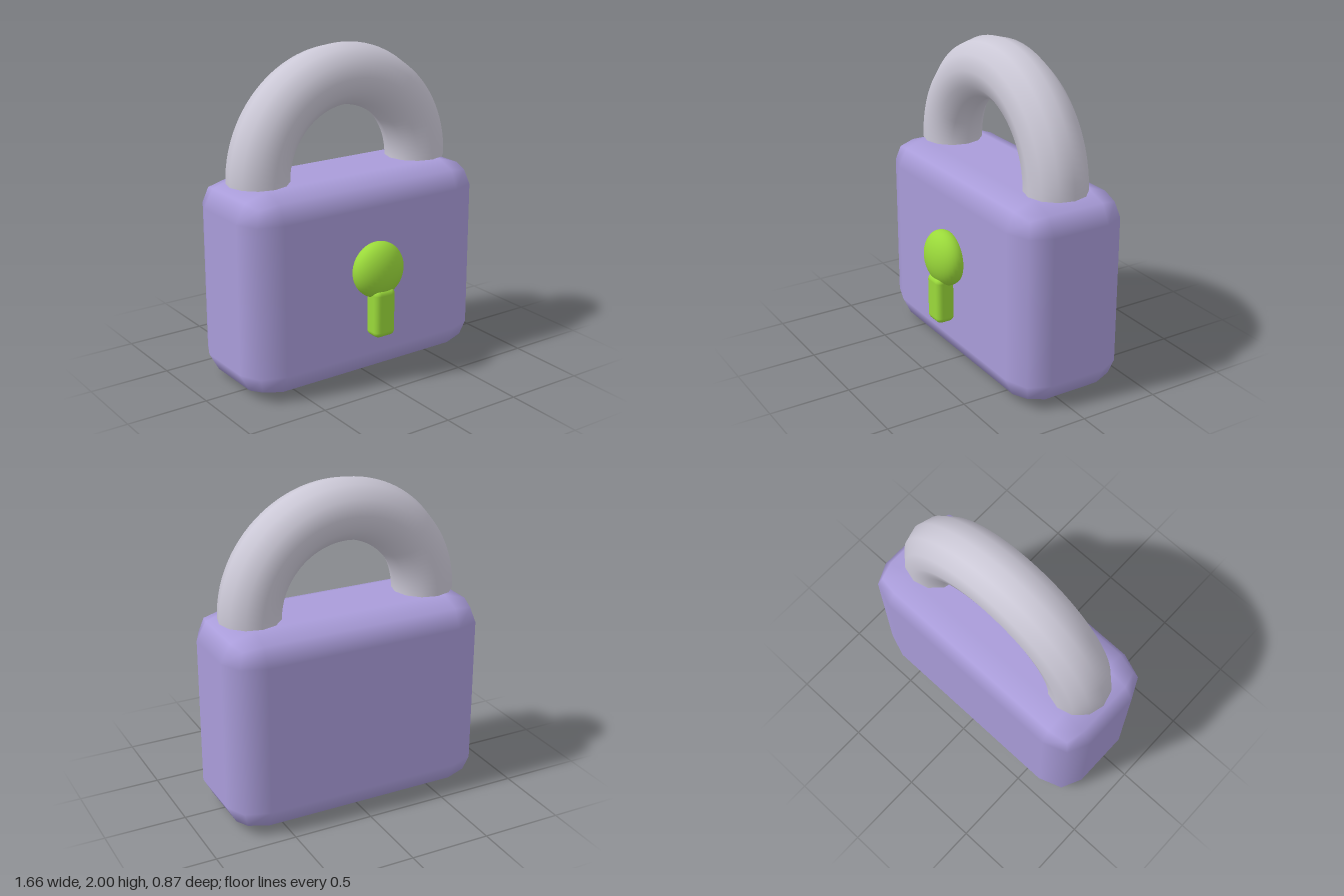
import * as THREE from 'three';
import { RoundedBoxGeometry } from 'three/addons/geometries/RoundedBoxGeometry.js';

// Rounded box whose corner inset may differ along each axis
function softBox(size, inset, segments) {
  const [w, h, d] = size.map((s, i) => s / inset[i]);
  return new RoundedBoxGeometry(w, h, d, segments, 1).scale(...inset);
}

export function createModel() {
  const lilac = new THREE.MeshStandardMaterial({ color: 0xa99cd9 });
  lilac.name = 'lilac';
  const silver = new THREE.MeshStandardMaterial({ color: 0xcbc8d6, side: THREE.DoubleSide });
  silver.name = 'silver';
  const lime = new THREE.MeshStandardMaterial({ color: 0x9ad93a });
  lime.name = 'lime';

  const padlock = new THREE.Group();
  padlock.name = 'padlock';
  const add = (name, geometry, material, x, y, z) => {
    const mesh = new THREE.Mesh(geometry, material);
    mesh.name = name;
    mesh.position.set(x, y, z);
    padlock.add(mesh);
    return mesh;
  };

  // Lock body with chamfer-like smooth corners
  add('body', softBox([1.664, 1.24, 0.73], [0.21, 0.16, 0.182], 1), lilac, 0, 0.62, -0.07);

  // Half-ring shackle standing on the body
  add('shackle', new THREE.TorusGeometry(0.573, 0.187, 12, 48, Math.PI), silver, 0, 1.24, -0.07);

  // Raised keyhole: flattened ball and slot
  const ball = add('keyholeBall', new THREE.SphereGeometry(0.172, 32, 24), lime, 0, 0.705, 0.33);
  ball.scale.z = 0.62;
  add('keyholeSlot', softBox([0.145, 0.3, 0.12], [0.035, 0.035, 0.035], 3), lime, 0, 0.45, 0.36);

  return padlock;
}
